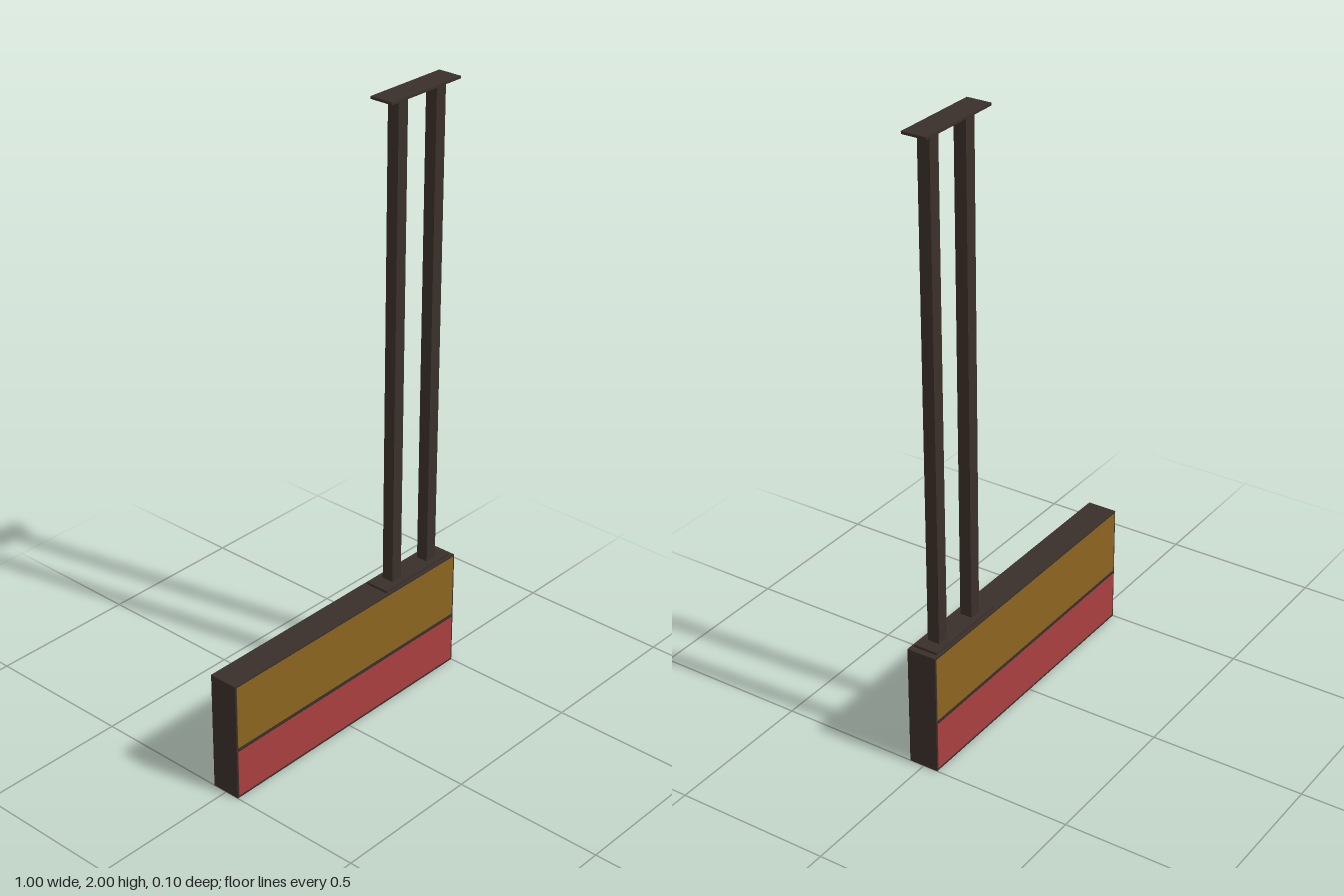
import * as THREE from 'three';

const material = (color) => new THREE.MeshStandardMaterial({ color });

export function createModel() {
  const model = new THREE.Group();
  model.name = 'hangingSign';
  const dark = material(0x3a302a);
  const gold = material(0x8b6420);
  const red = material(0xa93f3f);

  // Box given by its centre x, bottom y, centre z and size
  const box = (name, mat, x, y, z, w, h, d) => {
    const mesh = new THREE.Mesh(new THREE.BoxGeometry(w, h, d), mat);
    mesh.name = name;
    mesh.position.set(x, y + h / 2, z);
    model.add(mesh);
  };

  // Sign body
  box('signBody', dark, 0, 0, 0, 1, 0.4, 0.098);

  // Coloured panels on both faces, leaving a thin dark border and divider
  for (const [side, s] of [['front', 1], ['back', -1]]) {
    box(side + 'UpperPanel', gold, 0, 0.18, s * 0.049, 0.988, 0.214, 0.002);
    box(side + 'LowerPanel', red, 0, 0.008, s * 0.049, 0.988, 0.158, 0.002);
  }

  // Mounting plates at the sign and at the ceiling
  const plate = 0.008;
  box('lowerPlate', dark, 0.33, 0.4, 0, 0.3, plate, 0.08);
  box('ceilingPlate', dark, 0.33, 2 - plate, 0, 0.3, plate, 0.08);

  // Square hanger posts
  for (const [name, x] of [['rightPost', 0.252], ['leftPost', 0.418]]) {
    box(name, dark, x, 0.4 + plate, 0, 0.04, 1.6 - 2 * plate, 0.04);
  }

  return model;
}
